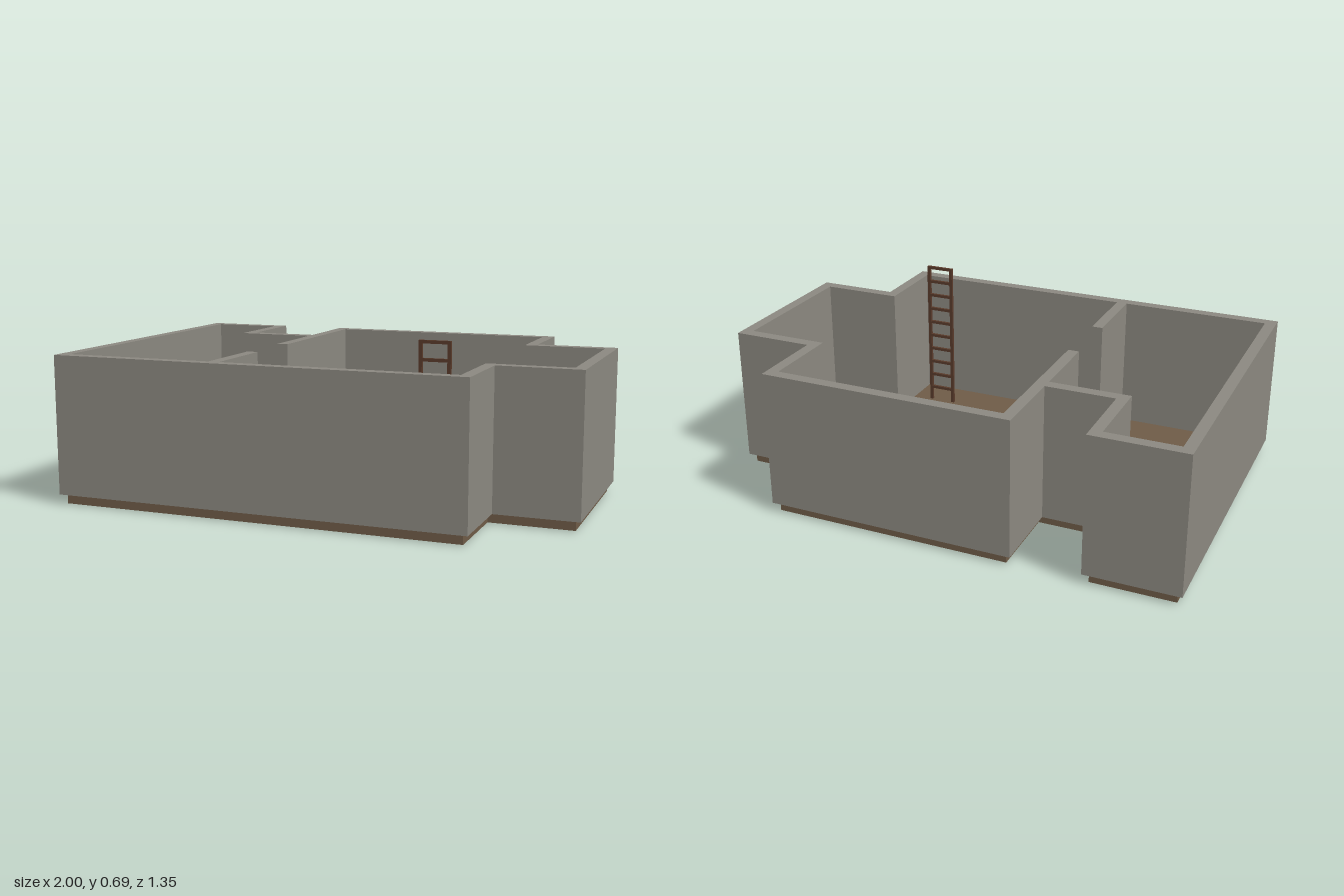
import * as THREE from 'three';

const mat = (name, color) => {
  const m = new THREE.MeshStandardMaterial({ color });
  m.name = name;
  return m;
};

// Floor plan outline as [x, z], moved inwards by d
const outline = (d) => [
  [-1 + d, -0.673 + d], [-0.628 - d, -0.673 + d], [-0.628 - d, -0.35 + d], [-0.35 + d, -0.35 + d],
  [-0.35 + d, -0.673 + d], [0.67 - d, -0.673 + d], [0.67 - d, -0.35 + d], [1 - d, -0.35 + d],
  [1 - d, 0.35 - d], [0.67 - d, 0.35 - d], [0.67 - d, 0.673 - d], [-1 + d, 0.673 - d],
];

// Turns a plan into a standing prism from y0 to y1; points run counter-clockwise
function prism(plan, y0, y1, hole) {
  const points = (list) => list.map(([x, z]) => new THREE.Vector2(x, -z)).reverse();
  const shape = new THREE.Shape(points(plan));
  if (hole) shape.holes.push(new THREE.Path(points(hole)));
  const geo = new THREE.ExtrudeGeometry(shape, { depth: y1 - y0, bevelEnabled: false });
  return geo.rotateX(-Math.PI / 2).translate(0, y0, 0);
}

export function createModel() {
  const stone = mat('grey stone', 0x8b8880);
  const earth = mat('brown floor', 0x6e5b47);
  const wood = mat('dark wood', 0x583a2a);
  const model = new THREE.Group();
  model.name = 'roomBlock';
  const add = (parent, name, geo, material, x = 0, y = 0, z = 0) => {
    const mesh = new THREE.Mesh(geo, material);
    mesh.name = name;
    mesh.position.set(x, y, z);
    parent.add(mesh);
  };

  // Floor slab, set in under the walls
  add(model, 'floorSlab', prism(outline(0.022), 0, 0.039), earth);

  // Walls: the rooms are one opening, joined by the doorway in the partition
  const rooms = outline(0.045);
  const [left, right, doorBack, doorFront] = [-0.35, -0.305, 0.021, 0.303];
  const interior = [
    ...rooms.slice(0, 3), [left, rooms[2][1]], [left, doorBack], [right, doorBack],
    ...rooms.slice(4, 11), [right, rooms[10][1]], [right, doorFront], [left, doorFront],
    [left, rooms[10][1]], rooms[11],
  ];
  add(model, 'walls', prism(outline(0), 0.039, 0.594, interior), stone);

  // Ladder standing near the front wall
  const ladder = new THREE.Group();
  ladder.name = 'ladder';
  ladder.position.set(0.487, 0, 0.488);
  model.add(ladder);
  const rail = new THREE.BoxGeometry(0.013, 0.653, 0.013);
  const rung = new THREE.BoxGeometry(0.105, 0.012, 0.012);
  for (const side of [-1, 1]) {
    add(ladder, side > 0 ? 'leftRail' : 'rightRail', rail, wood, side * 0.054, 0.3655);
  }
  for (let i = 0; i < 10; i++) add(ladder, 'rung', rung, wood, 0, 0.686 - i * 0.065);

  return model;
}
